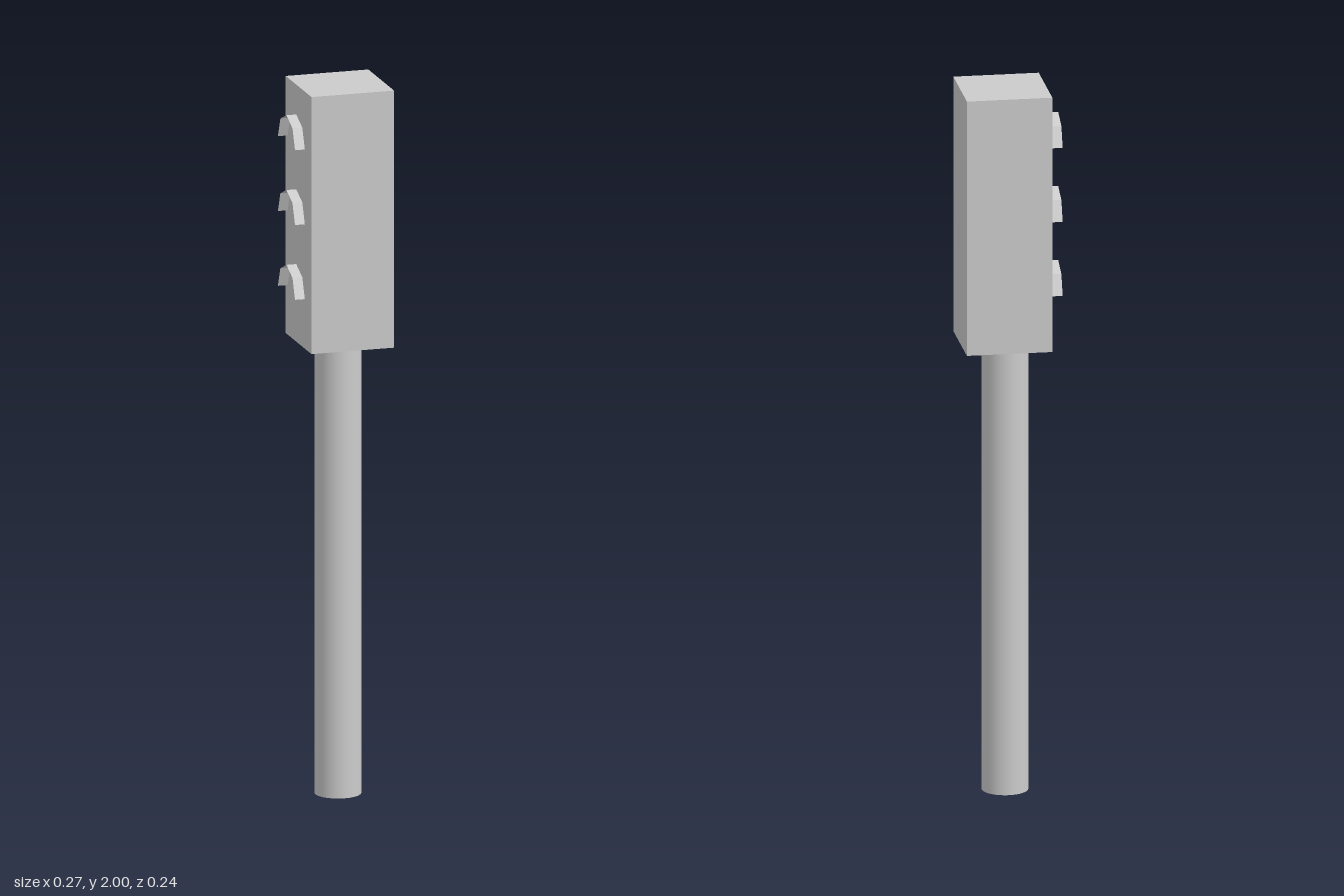
import * as THREE from 'three';

export function createModel() {
  const model = new THREE.Group();
  const smooth = new THREE.MeshStandardMaterial({ color: 0xcccccc });
  const faceted = new THREE.MeshStandardMaterial({
    color: 0xcccccc, flatShading: true, side: THREE.DoubleSide,
  });

  function add(parent, name, geometry, material, x, y, z) {
    const mesh = new THREE.Mesh(geometry, material);
    mesh.name = name;
    mesh.position.set(x, y, z);
    parent.add(mesh);
  }

  // Round pole and signal housing
  add(model, 'pole', new THREE.CylinderGeometry(0.064, 0.064, 1.275, 32), smooth, 0.011, 0.6375, 0);
  add(model, 'housing', new THREE.BoxGeometry(0.236, 0.725, 0.238), smooth, 0.017, 1.6375, -0.001);

  // Three lamps facing -x: an octagonal lens under a half-octagon visor
  const lens = new THREE.CircleGeometry(0.078, 8).rotateY(-Math.PI / 2);
  const visor = new THREE.CylinderGeometry(0.079, 0.079, 0.028, 4, 1, true, 0, Math.PI)
    .rotateZ(Math.PI / 2);
  ['top', 'middle', 'bottom'].forEach((label, i) => {
    const lamp = new THREE.Group();
    lamp.name = label + 'Lamp';
    lamp.position.set(-0.108, 1.843 - i * 0.211, 0);
    add(lamp, 'lens', lens, faceted, 0, 0, 0);
    add(lamp, 'visor', visor, faceted, -0.014, 0, 0);
    model.add(lamp);
  });

  return model;
}
